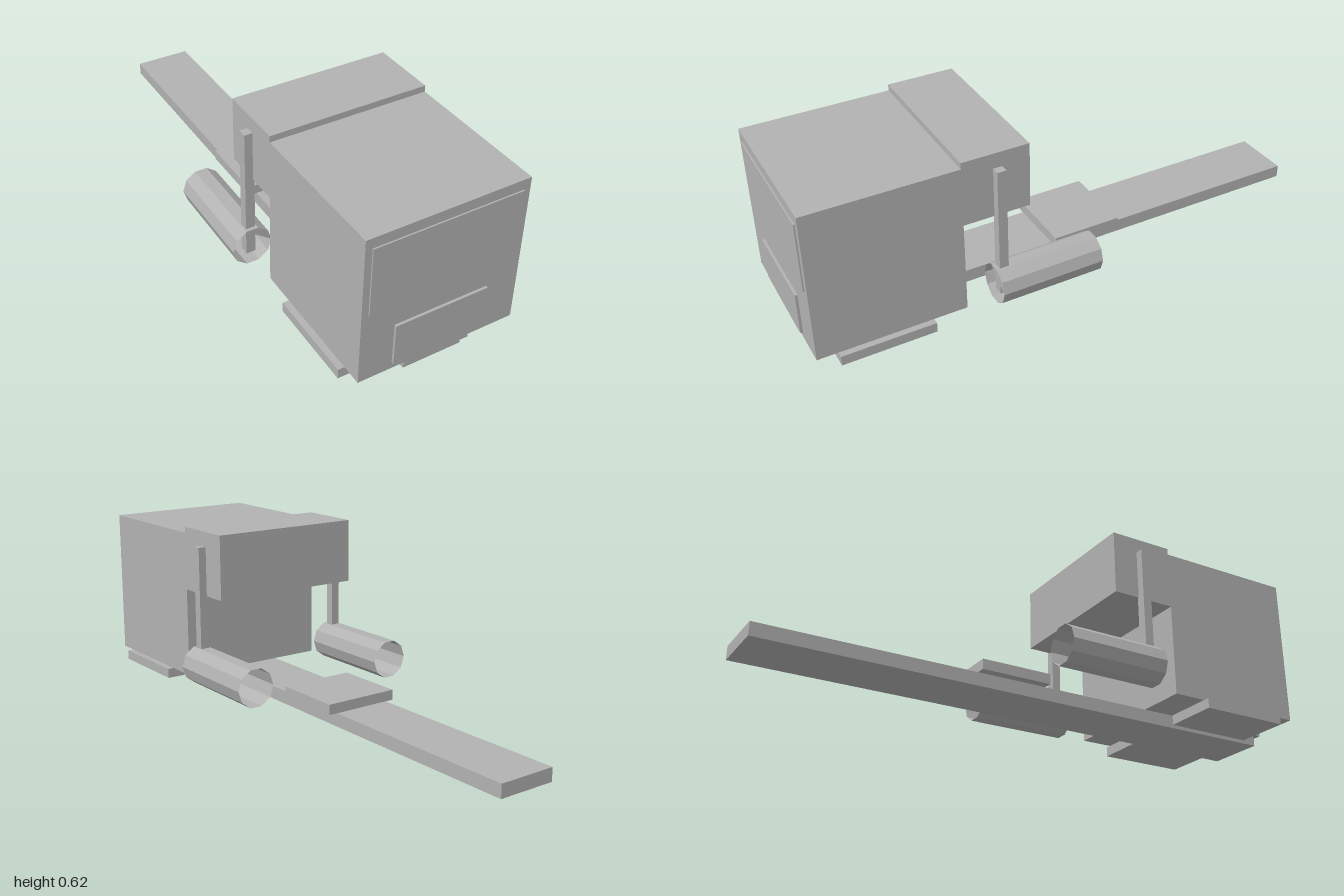
import * as THREE from 'three';

export function createModel() {
  const model = new THREE.Group();
  model.name = 'truckTractor';

  const grey = new THREE.MeshStandardMaterial({ color: 0xb2b2b2 });
  grey.name = 'grey';
  const greyOpen = grey.clone(); // same grey for the open tanks
  greyOpen.side = THREE.DoubleSide;
  greyOpen.flatShading = true;

  // Box given by its lower and upper limits on each axis
  function box(name, [x0, x1], [y0, y1], [z0, z1]) {
    const mesh = new THREE.Mesh(new THREE.BoxGeometry(x1 - x0, y1 - y0, z1 - z0), grey);
    mesh.position.set((x0 + x1) / 2, (y0 + y1) / 2, (z0 + z1) / 2);
    mesh.name = name;
    model.add(mesh);
  }

  // Chassis and coupling plate
  box('chassisRail', [-0.108, 0.108], [0, 0.048], [-1, 0.97]);
  box('couplingPlate', [-0.14, 0.14], [0.048, 0.085], [-0.222, 0.04]);

  // Cab with its overhanging rear box
  box('cab', [-0.288, 0.288], [0.049, 0.597], [0.463, 0.99]);
  box('rearOverhang', [-0.288, 0.288], [0.384, 0.62], [0.222, 0.463]);
  box('windshield', [-0.264, 0.264], [0.309, 0.56], [0.99, 0.995]);
  box('grille', [-0.168, 0.168], [0.073, 0.228], [0.99, 0.999]);
  box('frontPlate', [-0.12, 0.12], [0.038, 0.049], [0.9, 0.99]);

  // Ten-sided tank, open apart from a partial front cover
  const radius = 0.072, length = 0.38, sides = 10;
  const tankShell = new THREE.CylinderGeometry(radius, radius, length, sides, 1, true, Math.PI / 2);
  tankShell.rotateX(Math.PI / 2);
  const coverPoints = [0, 1, 2, 3].map((i) => {
    const a = (i * 2 * Math.PI) / sides;
    return new THREE.Vector2(radius * Math.cos(a), radius * Math.sin(a));
  });
  const tankCover = new THREE.ShapeGeometry(new THREE.Shape(coverPoints));
  tankCover.translate(0, 0, length / 2);

  for (const [side, s] of [['left', 1], ['right', -1]]) {
    // Side step under the cab
    const edges = [0.108 * s, 0.311 * s].sort((a, b) => a - b);
    box(side + 'Step', edges, [0.013, 0.049], [0.585, 0.918]);

    // Upright exhaust post
    box(side + 'ExhaustPost', [0.3 * s - 0.017, 0.3 * s + 0.017], [0.085, 0.565], [0.32, 0.353]);

    const tank = new THREE.Group();
    tank.name = side + 'Tank';
    const shell = new THREE.Mesh(tankShell, greyOpen);
    shell.name = 'tankShell';
    const cover = new THREE.Mesh(tankCover, greyOpen);
    cover.name = 'tankCover';
    tank.add(shell, cover);
    tank.position.set(0.3 * s, 0.121, 0.176);
    model.add(tank);
  }

  return model;
}
